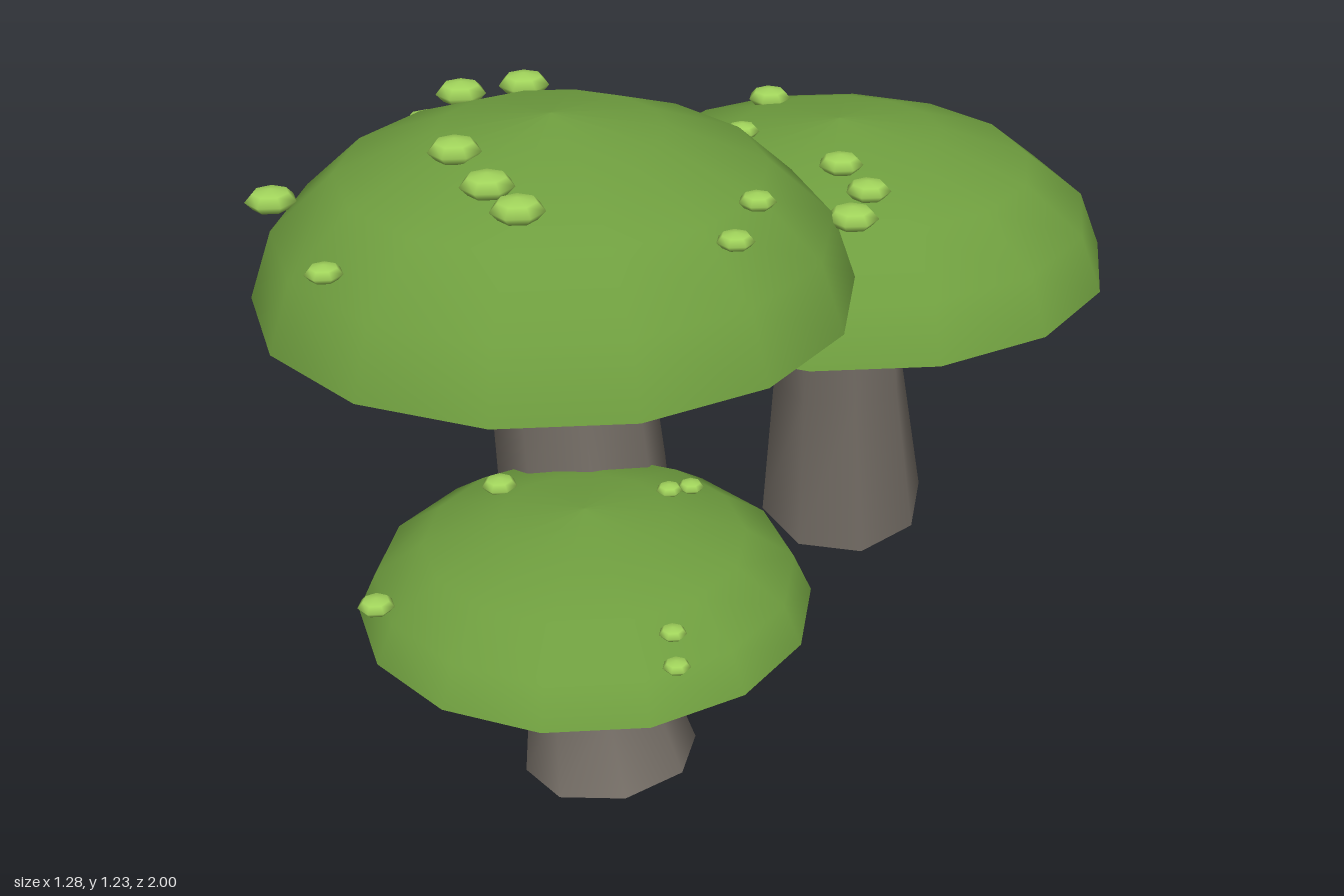
import * as THREE from 'three';
import { toCreasedNormals } from 'three/addons/utils/BufferGeometryUtils.js';

const SIDES = 14;
const V = (x, y, z) => new THREE.Vector3(x, y, z);

function material(name, color) {
  const m = new THREE.MeshStandardMaterial({ color });
  m.name = name;
  return m;
}

function part(name, geometry, mat, position) {
  const mesh = new THREE.Mesh(geometry, mat);
  mesh.name = name;
  mesh.position.copy(position);
  return mesh;
}

// Bent, flaring stem: three rings from top to foot, the foot cut at a slant
function stemGeometry(centres, radii, slopeX, slopeZ) {
  const geo = new THREE.CylinderGeometry(1, 1, 1, 8, 2);
  const p = geo.attributes.position;
  for (let i = 0; i < p.count; i++) {
    const ring = Math.round((0.5 - p.getY(i)) * 2);
    const c = centres[ring];
    const dx = p.getX(i) * radii[ring];
    const dz = p.getZ(i) * radii[ring];
    const slant = (dx * slopeX + dz * slopeZ) * (ring / 2) ** 2;
    p.setXYZ(i, c.x + dx, c.y + slant, c.z + dz);
  }
  return toCreasedNormals(geo, 0.95);
}

// Cap dome profile: rim to crown, steep at the rim and flat on top
function capProfile(radius, height) {
  const dome = [[1, 0], [0.92, 0.38], [0.705, 0.7], [0.375, 0.91], [0, 1]];
  return dome.map(([r, h]) => new THREE.Vector2(r * radius, h * height));
}

export function createModel() {
  const green = material('capGreen', 0x6f9e3f);
  const brown = material('stemGreyBrown', 0x777068);
  const lime = material('spotLime', 0xa2d55c);
  const origin = V(0, 0, 0);
  const model = new THREE.Group();
  model.name = 'mushroomCluster';

  // Cap, flat underside and stem; returns a function that sets spots on the cap
  function mushroom(name, centre, radius, height, stem) {
    const group = new THREE.Group();
    group.name = name;
    const under = new THREE.CircleGeometry(radius, SIDES, Math.PI / 2).rotateX(Math.PI / 2);
    group.add(
      part('cap', new THREE.LatheGeometry(capProfile(radius, height), SIDES), green, centre),
      part('capUnderside', under, brown, centre),
      part('stem', stem, brown, origin),
    );
    model.add(group);

    return (size, places) => {
      for (const [x, z] of places) {
        // Flattened spot resting on a rounded dome over the cap
        const q = Math.hypot(x - centre.x, z - centre.z) / radius;
        const y = centre.y + height * Math.sqrt(1 - 0.9 * q * q);
        const spot = part('spot', new THREE.SphereGeometry(size, 7, 4), lime, V(x, y, z));
        spot.scale.y = 0.45;
        group.add(spot);
      }
    };
  }

  // Tall mushroom in the middle
  const largeStem = stemGeometry(
    [V(-0.08, 0.9, 0.335), V(-0.058, 0.5, 0.31), V(-0.05, 0.055, 0.31)], [0.15, 0.167, 0.2], 0.03, 0);
  const largeSpots = mushroom('largeMushroom', V(-0.082, 0.89, 0.345), 0.57, 0.35, largeStem);
  largeSpots(0.05, [[0.36, 0], [-0.57, 0.13], [-0.39, 0.23], [-0.285, 0.165],
    [-0.145, 0.545], [-0.02, 0.61], [0.065, 0.635], [-0.555, 0.6]]);
  largeSpots(0.035, [[0, -0.175], [0.33, 0.29], [0.365, 0.415], [-0.2, 0.84]]);

  // Wide mushroom at the back
  const backStem = stemGeometry(
    [V(0.08, 0.725, -0.425), V(0.07, 0.4, -0.475), V(0.05, 0.05, -0.54)], [0.137, 0.148, 0.187], -0.1, -0.2);
  const backSpots = mushroom('backMushroom', V(0.08, 0.72, -0.425), 0.573, 0.305, backStem);
  backSpots(0.046, [[-0.23, -0.88], [-0.29, -0.74], [-0.145, -0.51],
    [0.19, -0.245], [0.28, -0.2], [-0.37, -0.155]]);

  // Small mushroom at the front
  const smallStem = stemGeometry(
    [V(0.15, 0.405, 0.575), V(0.16, 0.22, 0.565), V(0.188, 0.057, 0.565)], [0.12, 0.13, 0.165], 0.14, 0);
  const smallSpots = mushroom('smallMushroom', V(0.148, 0.4, 0.578), 0.42, 0.195, smallStem);
  smallSpots(0.034, [[-0.07, 0.91], [-0.06, 0.565]]);
  smallSpots(0.025, [[0.45, 0.735], [0.485, 0.775], [0.22, 0.41], [0.235, 0.36]]);

  return model;
}
